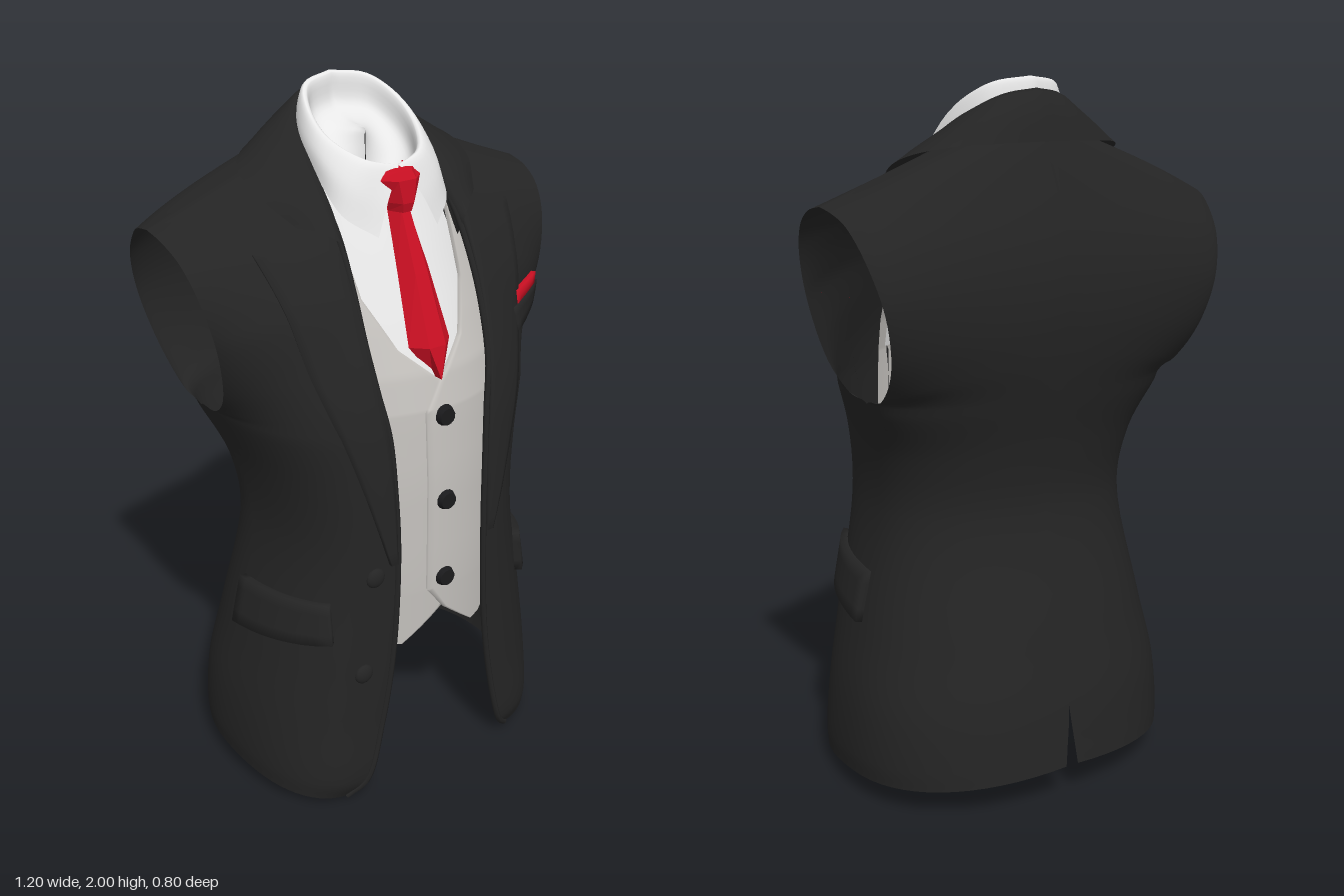
import * as THREE from 'three';
import { mergeGeometries, mergeVertices } from 'three/addons/utils/BufferGeometryUtils.js';

const V = (x, y, z) => new THREE.Vector3(x, y, z);
const curve = (pts) => new THREE.CatmullRomCurve3(pts.map((p) => (p.isVector3 ? p : V(...p))));
const lerp = THREE.MathUtils.lerp;

function mat(name, color) {
  const m = new THREE.MeshStandardMaterial({ color, side: THREE.DoubleSide });
  m.name = name;
  return m;
}

// Surface from a rule f(u, v) -> Vector3
function grid(f, nu, nv) {
  const pos = [], idx = [], w = nu + 1;
  for (let j = 0; j <= nv; j++) for (let i = 0; i <= nu; i++) pos.push(...f(i / nu, j / nv).toArray());
  for (let j = 0; j < nv; j++) for (let i = 0; i < nu; i++) {
    const a = j * w + i;
    idx.push(a, a + 1, a + w + 1, a, a + w + 1, a + w);
  }
  const g = new THREE.BufferGeometry();
  g.setAttribute('position', new THREE.Float32BufferAttribute(pos, 3));
  g.setIndex(idx);
  g.computeVertexNormals();
  return g;
}

function mirror(g) {
  const m = g.clone();
  m.scale(-1, 1, 1);
  const a = m.index.array;
  for (let i = 0; i < a.length; i += 3) [a[i], a[i + 1]] = [a[i + 1], a[i]];
  m.computeVertexNormals();
  return m;
}

function weld(list) {
  list.forEach((g) => g.deleteAttribute('normal'));
  const g = mergeVertices(mergeGeometries(list), 1e-4);
  g.computeVertexNormals();
  return g;
}
const both = (g) => weld([g, mirror(g)]);

// Smooth skin across several curves
const loft = (curves, nu, nv) =>
  grid((u, v) => curve(curves.map((c) => c.getPoint(u))).getPoint(v), nu, nv);

// Row from a centre edge p round to a side edge e; a = roundness
function row(p, e, a, t) {
  const dx = e.x - p.x, dy = e.y - p.y, dz = e.z - p.z;
  const c1 = V(p.x + lerp(dx / 3, dx * 0.63, a), p.y + dy / 3, p.z + lerp(dz / 3, 0, a));
  const c2 = V(e.x - lerp(dx / 3, 0, a), e.y - dy / 3, e.z - lerp(dz / 3, dz * 0.63, a));
  return new THREE.CubicBezierCurve3(p, c1, c2, e).getPoint(t);
}

// Centre depth of the waistcoat at each height
const VEST = [[0.45, 0.372], [0.7, 0.38], [1, 0.375], [1.2, 0.36], [1.3, 0.335], [1.42, 0.283], [1.6, 0.197], [1.78, 0.105]];
function vestZ(x, y) {
  let i = 0;
  while (i < VEST.length - 2 && y > VEST[i + 1][0]) i++;
  const [a, b] = [VEST[i], VEST[i + 1]];
  return lerp(a[1], b[1], (y - a[0]) / (b[0] - a[0])) - 1.3 * x * x;
}

export function createModel() {
  const model = new THREE.Group();
  const cloth = mat('charcoal cloth', 0x242424), grey = mat('waistcoat grey', 0xc4c1bd);
  const white = mat('shirt white', 0xe8e8e8), red = mat('red silk', 0xc80f22), black = mat('button black', 0x1a1a1c);
  const add = (name, geo, m) => {
    const mesh = new THREE.Mesh(geo, m);
    mesh.name = name;
    model.add(mesh);
    return mesh;
  };

  // Jacket edges from hem to shoulder: front opening, armhole front, armhole back, back centre
  const open = curve([[0.3, 0.005, 0.335], [0.25, 0.06, 0.365], [0.2, 0.25, 0.37], [0.165, 0.48, 0.372], [0.15, 0.8, 0.37],
    [0.155, 1, 0.36], [0.165, 1.16, 0.345], [0.185, 1.28, 0.32], [0.195, 1.41, 0.275], [0.195, 1.53, 0.225],
    [0.19, 1.66, 0.15], [0.185, 1.76, 0.05], [0.18, 1.81, -0.02], [0.175, 1.845, -0.09]]);
  const side = [[0.5, 0.06, -0.02], [0.505, 0.12, -0.02], [0.495, 0.28, -0.02], [0.455, 0.48, 0], [0.39, 0.82, 0],
    [0.41, 1, -0.04], [0.475, 1.16, -0.105]];
  const sideF = curve([...side, [0.48, 1.175, -0.02], [0.5, 1.25, 0.065], [0.535, 1.41, 0.108], [0.567, 1.55, 0.083],
    [0.585, 1.63, 0.03], [0.596, 1.67, -0.04], [0.6, 1.685, -0.11]]);
  const sideB = curve([...side, [0.48, 1.18, -0.19], [0.5, 1.28, -0.285], [0.535, 1.43, -0.325], [0.567, 1.56, -0.29],
    [0.585, 1.645, -0.22], [0.596, 1.672, -0.17], [0.6, 1.685, -0.11]]);
  const back = curve([[0.02, 0.1, -0.4], [0.014, 0.15, -0.395], [0, 0.28, -0.38], [0, 0.48, -0.335], [0, 0.82, -0.26],
    [0, 1, -0.28], [0, 1.16, -0.32], [0, 1.28, -0.345], [0, 1.4, -0.36], [0, 1.52, -0.355], [0, 1.65, -0.325],
    [0, 1.86, -0.24], [0.1, 1.865, -0.2], [0.175, 1.845, -0.09]]);
  const round = (list, v) => {
    const s = v * 13, i = Math.min(12, Math.floor(s));
    return lerp(list[i], list[i + 1], s - i);
  };
  const aF = [1, 1, 1, 1, 1, 1, 0.95, 0.85, 0.72, 0.55, 0.1, 0, 0, 0];
  const aB = [1, 1, 1, 1, 1, 1, 1, 1, 0.95, 0.9, 0.8, 0.45, 0.2, 0];
  const front = grid((u, v) => row(open.getPoint(v), sideF.getPoint(v), round(aF, v), u), 16, 78);
  const rear = grid((u, v) =>
    row(back.getPoint(v), (v <= 6 / 13 + 1e-6 ? sideF : sideB).getPoint(v), round(aB, v), 1 - u), 16, 78);
  const jacket = add('jacketBody', weld([front, rear, mirror(front), mirror(rear)]), cloth);
  add('jacketOpeningEdge', both(new THREE.TubeGeometry(open, 80, 0.009, 6).deleteAttribute('uv')), cloth);

  // Drop a point onto the jacket: from the front at (x, y), the left side at (z, y) or the top at (x, z)
  const ray = new THREE.Raycaster();
  const CAST = {
    front: [(x, y) => V(x, y, 2), V(0, 0, -1), 0.008],
    side: [(z, y) => V(2, y, z), V(-1, 0, 0), -0.008],
    top: [(x, z) => V(x, 3, z), V(0, -1, 0), 0.008],
  };
  function drape(a, b, off, from = 'front') {
    const [start, dir, step] = CAST[from];
    for (let k = 0; k < 20; k++, a += step) {
      ray.set(start(a, b), dir);
      const hit = ray.intersectObject(jacket)[0];
      if (!hit) continue;
      const n = hit.face.normal.clone();
      if (n.dot(dir) > 0) n.negate();
      return hit.point.clone().addScaledVector(n, off);
    }
    throw new Error('no cloth under point');
  }
  // Raised patch on the jacket with its border turned down to the cloth
  function raised(map, off, nu, nv, from) {
    const inner = (t, n) => THREE.MathUtils.clamp((Math.round(t * (n + 2)) - 1) / n, 0, 1);
    return grid((u, v) => {
      const rim = u === 0 || u === 1 || v === 0 || v === 1;
      const [a, b] = map(inner(u, nu), inner(v, nv));
      return drape(a, b, rim ? 0 : off, from);
    }, nu + 2, nv + 2);
  }
  const quad = (p, q, r, s) => (u, v) => [0, 1].map((k) => lerp(lerp(p[k], q[k], u), lerp(r[k], s[k], u), v));

  // Lapels
  const lapIn = curve([[0.156, 0.78, 0], [0.163, 1.05, 0], [0.192, 1.35, 0], [0.202, 1.55, 0], [0.2, 1.7, 0]]);
  const lapOut = curve([[0.178, 0.78, 0], [0.255, 1.05, 0], [0.34, 1.33, 0], [0.38, 1.52, 0], [0.41, 1.635, 0]]);
  add('lapels', both(raised((u, v) => {
    const p = lapIn.getPoint(v).lerp(lapOut.getPoint(v), u);
    return [p.x, p.y];
  }, 0.012, 8, 28)), cloth);

  // Jacket collar: outer fall, fold line and inner stand round the neck
  const rollPts = [[0.193, 1.64, 0.185], [0.19, 1.73, 0.115], [0.182, 1.825, 0.01], [0.158, 1.905, -0.1], [0.09, 1.955, -0.175], [0, 1.97, -0.198]];
  const roll = curve(rollPts);
  const fall = curve([drape(0.285, 1.68, 0.014), drape(0.335, 0, 0.016, 'top'), drape(0.335, -0.09, 0.014, 'top'),
    drape(0.27, -0.18, 0.014, 'top'), [0.14, 1.832, -0.25], [0, 1.835, -0.266]]);
  const midFold = curve([0, 0.2, 0.4, 0.6, 0.8, 1].map((t) =>
    roll.getPoint(t).lerp(fall.getPoint(t), 0.5).add(V(0, 0.014, t < 0.5 ? 0.006 : -0.008))));
  const stand = curve(rollPts.map(([x, y, z], i) => V(x * (i ? 0.88 : 1), y - 0.06, z * 0.88 - 0.01)));
  add('jacketCollar', both(loft([fall, midFold, roll, stand], 24, 9)), cloth);

  // Pocket flaps, breast pocket and folded handkerchief
  add('pocketFlaps', both(raised(quad([0.315, 0.55], [0, 0.5], [0.298, 0.67], [0, 0.645]), 0.022, 10, 4, 'side')), cloth);
  add('breastPocket', raised(quad([0.33, 1.31], [0.47, 1.33], [0.32, 1.375], [0.475, 1.4]), 0.016, 6, 3), cloth);
  add('handkerchief', raised(quad([0.345, 1.375], [0.46, 1.395], [0.345, 1.415], [0.467, 1.428]), 0.014, 6, 2), red);

  // Jacket buttons
  for (const [x, y] of [[0.22, 0.75], [0.258, 0.445]]) {
    const dome = new THREE.SphereGeometry(0.03, 14, 5, 0, Math.PI * 2, 0, Math.PI / 2).rotateX(Math.PI / 2);
    const b = add('jacketButton', dome, cloth);
    b.position.copy(drape(x, y, 0.004));
    b.position.x *= -1;
    b.scale.z = 0.5;
  }

  // Waistcoat: left panel laps over the right one
  const inEdge = [[0.12, 0.485], [0, 0.585], [-0.055, 0.66], [-0.055, 1.2], [0, 1.28], [0.1, 1.37], [0.16, 1.5], [0.18, 1.72]];
  const outEdge = [[0.16, 0.49], [0.19, 0.52], [0.2, 0.66], [0.21, 1.2], [0.215, 1.28], [0.22, 1.37], [0.22, 1.5], [0.21, 1.7]];
  const along = (list, v) => {
    const s = v * (list.length - 1), i = Math.min(list.length - 2, Math.floor(s));
    return [0, 1].map((k) => lerp(list[i][k], list[i + 1][k], s - i));
  };
  const panel = (lift) => grid((u, v) => {
    const i = Math.round(u * 15), p = along(inEdge, v), q = along(outEdge, v), t = Math.max(0, i - 1) / 14;
    const x = lerp(p[0], q[0], t), y = lerp(p[1], q[1], t);
    return V(x, y, vestZ(x, y) + (i === 0 ? -0.006 : lift));
  }, 15, 56);
  add('waistcoatLeft', panel(0.009), grey);
  add('waistcoatRight', mirror(panel(0)), grey);
  for (const y of [1.185, 0.935, 0.69]) {
    const b = add('waistcoatButton', new THREE.CylinderGeometry(0.024, 0.031, 0.018, 14).rotateX(Math.PI / 2), black);
    b.position.set(0, y, vestZ(0, y) + 0.014);
  }

  // Shirt front
  add('shirtFront', grid((u, v) => {
    const y = lerp(1.22, 1.78, v), x = (u - 0.5) * 0.4;
    return V(x, y, vestZ(x, y) - 0.014);
  }, 12, 16), white);

  // Shirt collar: closed neck, stand, rim and turned-down points
  const rimPts = [[0, 1.815, 0.15], [0.09, 1.838, 0.122], [0.145, 1.885, 0.03], [0.145, 1.94, -0.06], [0.1, 1.985, -0.14], [0, 2, -0.172]];
  const lowPts = [[0.095, 1.65, 0.196], [0.168, 1.705, 0.14], [0.18, 1.77, 0.06], [0.165, 1.82, -0.06], [0.11, 1.87, -0.15], [0, 1.88, -0.19]];
  const shrink = (k, dy) => curve(rimPts.map(([x, y, z]) => V(x * k, y + dy, z * k)));
  const bulge = curve(rimPts.map(([x, y, z], i) => {
    const [a, b, c] = lowPts[i];
    return V((x + a) * 0.53, (y + b) / 2 + 0.01, (z + c) * 0.515);
  }));
  add('shirtCollar', both(loft([shrink(0.01, -0.12), shrink(0.5, -0.115), shrink(0.84, -0.08), shrink(0.92, -0.006),
    curve(rimPts), bulge, curve(lowPts)], 24, 30)), white);

  // Tie: faceted strips given as [y, half width, depth]
  const strip = (rows) => grid((u, v) => {
    const [y, w, z] = rows[Math.round(v * (rows.length - 1))];
    const k = Math.round(u * 3);
    return V(w * [-1, -0.4, 0.4, 1][k], y, z - (k % 3 ? 0 : 0.038));
  }, 3, rows.length - 1);
  const flat = (g) => {
    const f = g.toNonIndexed();
    f.computeVertexNormals();
    return f;
  };
  add('tieKnot', flat(strip([[1.7, 0.034, 0.19], [1.725, 0.043, 0.196], [1.785, 0.07, 0.19], [1.806, 0.056, 0.176], [1.812, 0.04, 0.145]])), red);
  add('tieBlade', flat(strip([[1.283, 0.002, 0.352], [1.37, 0.067, 0.332], [1.55, 0.05, 0.256], [1.71, 0.032, 0.18]])), red);
  return model;
}
